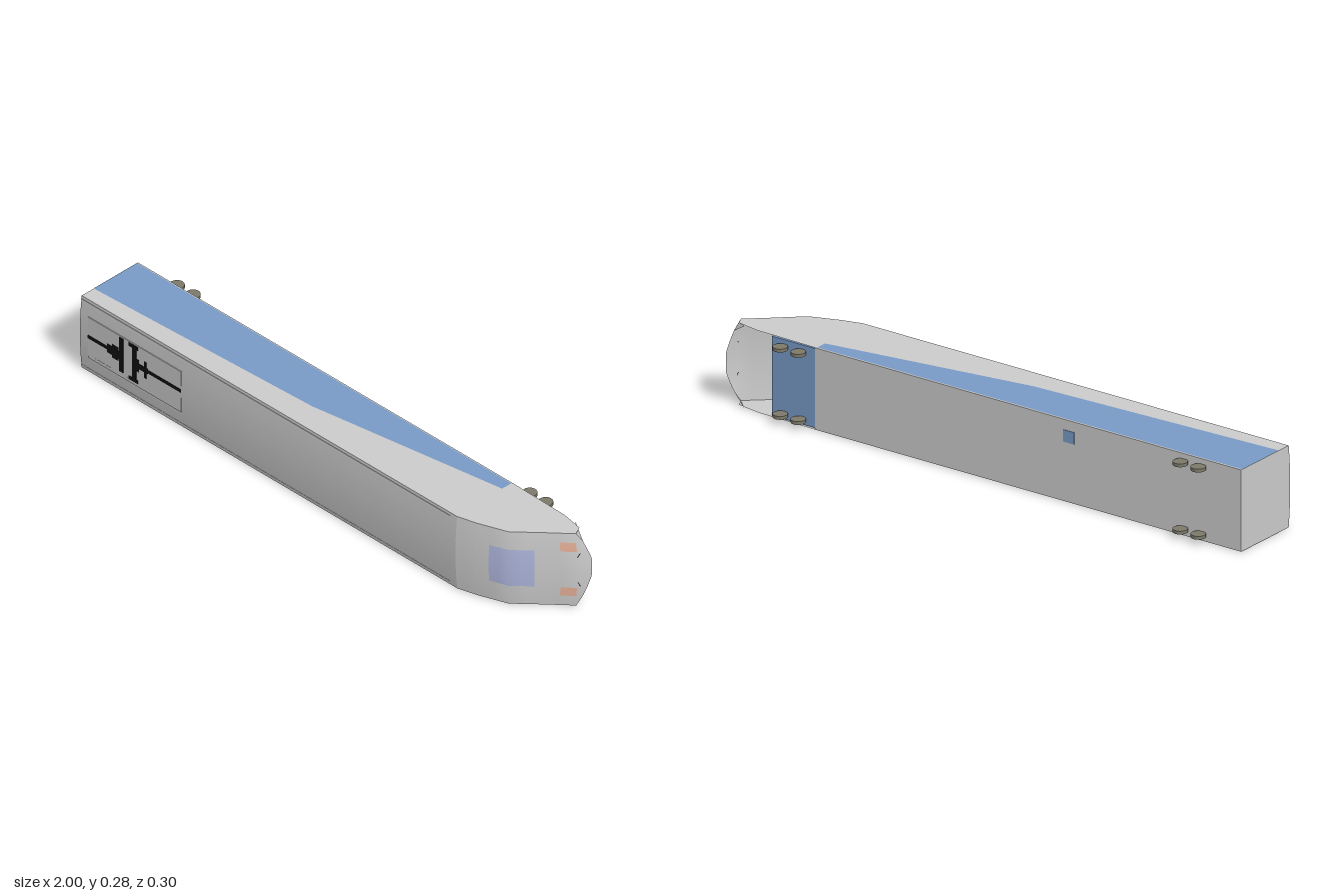
import * as THREE from 'three';

const H = 0.275, MID = H / 2;
const material = (color, side = THREE.FrontSide) =>
  new THREE.MeshStandardMaterial({ color, side });
const GREY = material(0xcccccc), SHELL = material(0xcccccc, THREE.DoubleSide);
const BLUE = material(0x799bc7), BLUE_THIN = material(0x799bc7, THREE.DoubleSide);
const GLASS = material(0xaeb6dc), LAMP = material(0xe6b099);
const BLACK = material(0x111111), WHEEL = material(0x7d7a6a);

const lerp = THREE.MathUtils.lerp;
const roofZ = y => 0.142 + 0.008 * (1 - ((y - MID) / MID) ** 2);

// Nose stations: edge x, edge z, centre bulge in x, centre bulge in z
const STATIONS = [
  [0.65, 0.142, 0, 0.008], [0.72, 0.123, 0, 0.008], [0.82, 0.086, 0.004, 0.006],
  [0.9, 0.012, 0.008, 0.003], [0.975, -0.055, 0.013, 0], [0.975, -0.055, 0.025, 0]
];

// Lower lip of the nose, deepest in the middle and lifting at the corners
function lipZ(s) {
  const a = Math.abs(s);
  if (a < 0.25) return -0.1;
  return a < 0.75 ? lerp(-0.1, -0.075, (a - 0.25) / 0.5) : lerp(-0.075, -0.055, (a - 0.75) / 0.25);
}

function nosePoint(t, y, lift = 0) {
  const s = (y - MID) / MID, k = 1 - s * s;
  const at = i => {
    const [x, z, bx, bz] = STATIONS[i];
    return [x + bx * k, i === 5 ? lipZ(s) : z + bz * k];
  };
  const i = Math.min(Math.floor(t), 4), a = at(i), b = at(i + 1), f = t - i;
  return [lerp(a[0], b[0], f) + lift, y, lerp(a[1], b[1], f) + lift];
}

// Grid surface over the nose between two stations and two heights
function nosePatch(ts, y0, y1, columns, lift) {
  const pos = [], index = [], w = columns + 1;
  ts.forEach((t, r) => {
    for (let c = 0; c <= columns; c++) pos.push(...nosePoint(t, lerp(y0, y1, c / columns), lift));
    if (r === 0) return;
    for (let c = 0; c < columns; c++) {
      const a = (r - 1) * w + c, b = r * w + c;
      index.push(a, b, a + 1, a + 1, b, b + 1);
    }
  });
  const g = new THREE.BufferGeometry();
  g.setAttribute('position', new THREE.Float32BufferAttribute(pos, 3));
  g.setIndex(index);
  g.computeVertexNormals();
  return g;
}

// Flat polygon given as x,z pairs, laid at height y
function sidePanel(points, y) {
  const shape = new THREE.Shape(points.map(([x, z]) => new THREE.Vector2(x, z)));
  return new THREE.ShapeGeometry(shape).rotateX(Math.PI / 2).translate(0, y, 0);
}

export function createModel() {
  const model = new THREE.Group();
  const add = (name, geometry, mat, parent = model) => {
    const mesh = new THREE.Mesh(geometry, mat);
    mesh.name = name;
    parent.add(mesh);
    return mesh;
  };
  const box = (name, x0, x1, y0, y1, z0, z1, mat, parent) =>
    add(name, new THREE.BoxGeometry(x1 - x0, y1 - y0, z1 - z0)
      .translate((x0 + x1) / 2, (y0 + y1) / 2, (z0 + z1) / 2), mat, parent);

  // Carriage body, lying on its side with a slightly arched roof facing forward
  const section = new THREE.Shape();
  section.moveTo(0.105, 0);
  section.lineTo(0.105, H);
  for (let i = 12; i >= 0; i--) section.lineTo(-roofZ(H * i / 12), H * i / 12);
  section.closePath();
  add('carriageBody', new THREE.ExtrudeGeometry(section, { depth: 1.65, bevelEnabled: false })
    .rotateY(Math.PI / 2).translate(-1, 0, 0), GREY);

  // Blue sweep on both flanks
  const sweep = [[-1, -0.1], [-1, 0.09], [-0.08, 0.05], [0.645, -0.06], [0.645, -0.1]];
  for (const y of [-0.0008, H + 0.0008]) add('flankStripe', sidePanel(sweep, y), BLUE_THIN);

  // Roof gutters
  for (const y of [0.012, H - 0.012])
    box('roofGutter', -1, 0.62, y - 0.0015, y + 0.0015, 0.14, roofZ(y) + 0.001, GREY);

  // Hollow cab: curved nose, two side walls and tucked lower corners
  const cab = new THREE.Group();
  cab.name = 'cab';
  model.add(cab);
  add('noseShell', nosePatch([0, 0.5, 1, 1.5, 2, 2.5, 3, 3.5, 4, 5], 0, H, 16, 0), SHELL, cab);
  const wall = [...STATIONS.slice(0, 5).map(p => [p[0], p[1]]),
    [0.96, -0.085], [0.88, -0.1], [0.65, -0.105]];
  for (const [y, dir] of [[0, 1], [H, -1]]) {
    add('cabSideWall', sidePanel(wall, y), SHELL, cab);
    const corner = new THREE.BufferGeometry().setFromPoints([
      new THREE.Vector3(0.975, y, -0.055),
      new THREE.Vector3(...nosePoint(5, y + dir * 0.035)),
      new THREE.Vector3(0.93, y, -0.098)
    ]);
    corner.computeVertexNormals();
    add('noseCorner', corner, SHELL, cab);
  }
  box('cabUnderframe', 0.65, 0.82, 0.004, H - 0.004, -0.102, 0.06, BLUE, cab);

  // Windscreen, slot, lamps and wipers follow the nose surface
  add('windscreen', nosePatch([1.4, 1.7, 2, 2.35, 2.72], 0.073, 0.21, 8, 0.001), GLASS, cab);
  add('roofSlot', nosePatch([0.75, 0.85], 0.073, 0.21, 8, 0.002), GREY, cab);
  for (const y of [0.04, 0.21])
    add('headlamp', nosePatch([3.47, 3.72, 3.96], y, y + 0.033, 4, 0.001), LAMP, cab);
  for (const [y0, y1] of [[0.097, 0.076], [0.19, 0.203]]) {
    const path = new THREE.LineCurve3(
      new THREE.Vector3(...nosePoint(3.97, y0, 0.001)), new THREE.Vector3(...nosePoint(4.2, y1, 0.001)));
    add('wiper', new THREE.TubeGeometry(path, 1, 0.0008, 5), BLACK, cab);
  }

  // Current collector folded flat on its roof plate
  const collector = new THREE.Group();
  collector.name = 'currentCollector';
  model.add(collector);
  box('roofPlate', -0.965, -0.555, 0.06, 0.215, 0.14, 0.1503, GREY, collector);
  const bars = [
    [-0.965, -0.82, 0.135, 0.147], [-0.88, -0.82, 0.125, 0.157], [-0.858, -0.83, 0.116, 0.166],
    [-0.826, -0.809, 0.08, 0.21], [-0.77, -0.752, 0.08, 0.205], [-0.75, -0.7, 0.131, 0.151],
    [-0.718, -0.708, 0.11, 0.172], [-0.752, -0.74, 0.118, 0.164], [-0.7, -0.555, 0.135, 0.147],
    [-0.785, -0.745, 0.071, 0.084], [-0.785, -0.745, 0.198, 0.211]
  ];
  for (const [x0, x1, y0, y1] of bars)
    box('collectorBar', x0, x1, y0, y1, 0.149, 0.1515, BLACK, collector);
  box('roofVentLarge', -0.93, -0.86, 0.065, 0.073, 0.14, 0.151, GREY, collector);
  box('roofVentSmall', -0.795, -0.76, 0.065, 0.073, 0.14, 0.151, GREY, collector);

  // Wheels in pairs along the underside
  for (const x of [-0.85, -0.78, 0.7, 0.77])
    for (const y of [0.0255, 0.2515])
      add('wheel', new THREE.CylinderGeometry(0.024, 0.024, 0.011, 24).translate(x, y, -0.126), WHEEL);

  // Small equipment cover under the floor
  box('underfloorCover', -0.355, -0.312, 0.2, 0.24, -0.107, -0.1, BLUE);

  return model;
}
